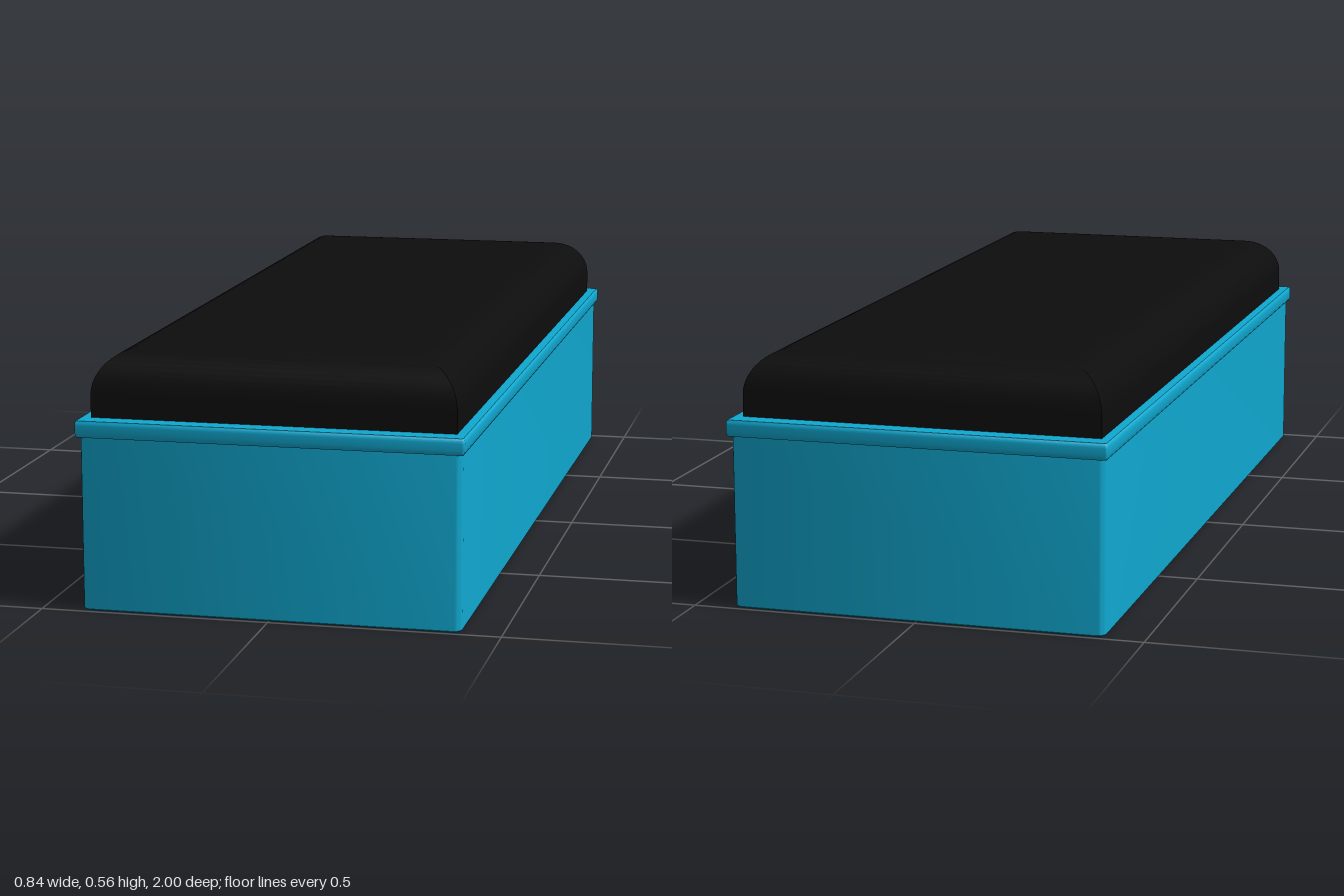
import * as THREE from 'three';
import { toCreasedNormals } from 'three/addons/utils/BufferGeometryUtils.js';

// Closed solid through rounded-rectangle sections [y, halfX, halfZ, cornerRadius]
function loft(sections, cornerSegments) {
  const pos = [], idx = [];
  const n = 4 * (cornerSegments + 1);
  for (const [y, hx, hz, r] of sections) {
    for (let q = 0; q < 4; q++) {
      const sx = q === 0 || q === 3 ? 1 : -1;
      const sz = q < 2 ? 1 : -1;
      for (let s = 0; s <= cornerSegments; s++) {
        const a = (q + (cornerSegments ? s / cornerSegments : 0)) * Math.PI / 2;
        pos.push(sx * (hx - r) + r * Math.cos(a), y, sz * (hz - r) + r * Math.sin(a));
      }
    }
  }
  const last = sections.length - 1;
  const bottom = pos.length / 3, top = bottom + 1;
  pos.push(0, sections[0][0], 0, 0, sections[last][0], 0);
  for (let i = 0; i < n; i++) {
    const j = (i + 1) % n;
    for (let k = 0; k < last; k++) {
      const a = k * n + i, b = k * n + j;
      idx.push(a, a + n, b + n, a, b + n, b);
    }
    idx.push(bottom, i, j, top, last * n + j, last * n + i);
  }
  const geo = new THREE.BufferGeometry();
  geo.setAttribute('position', new THREE.Float32BufferAttribute(pos, 3));
  geo.setIndex(idx);
  return toCreasedNormals(geo, Math.PI / 5);
}

export function createModel() {
  const group = new THREE.Group();
  const blue = new THREE.MeshStandardMaterial({ color: 0x10a8d0 });
  const black = new THREE.MeshStandardMaterial({ color: 0x0d0d0d });
  const add = (name, geo, mat) => {
    const mesh = new THREE.Mesh(geo, mat);
    mesh.name = name;
    group.add(mesh);
  };

  // Box body with slightly rounded upright corners
  add('base', loft([
    [0, 0.41, 0.988, 0.017],
    [0.003, 0.413, 0.991, 0.02],
    [0.382, 0.413, 0.991, 0.02],
  ], 5), blue);

  // Thin projecting rim with softened edges
  add('rim', loft([
    [0.379, 0.416, 0.996, 0.004],
    [0.384, 0.419, 0.999, 0.005],
    [0.39, 0.42, 1, 0.006],
    [0.405, 0.42, 1, 0.006],
    [0.411, 0.419, 0.999, 0.005],
    [0.415, 0.416, 0.996, 0.004],
  ], 3), blue);

  // Padded top: square in plan, edges rolled over by a quarter round, mitred corners
  const radius = 0.094, height = 0.557, steps = 12;
  const pad = [[0.41, 0.396, 0.955, 0]];
  for (let i = 0; i <= steps; i++) {
    const a = i / steps * Math.PI / 2;
    const inset = radius * (1 - Math.cos(a));
    pad.push([height - radius * (1 - Math.sin(a)), 0.396 - inset, 0.955 - inset, 0]);
  }
  add('cushion', loft(pad, 0), black);

  return group;
}
